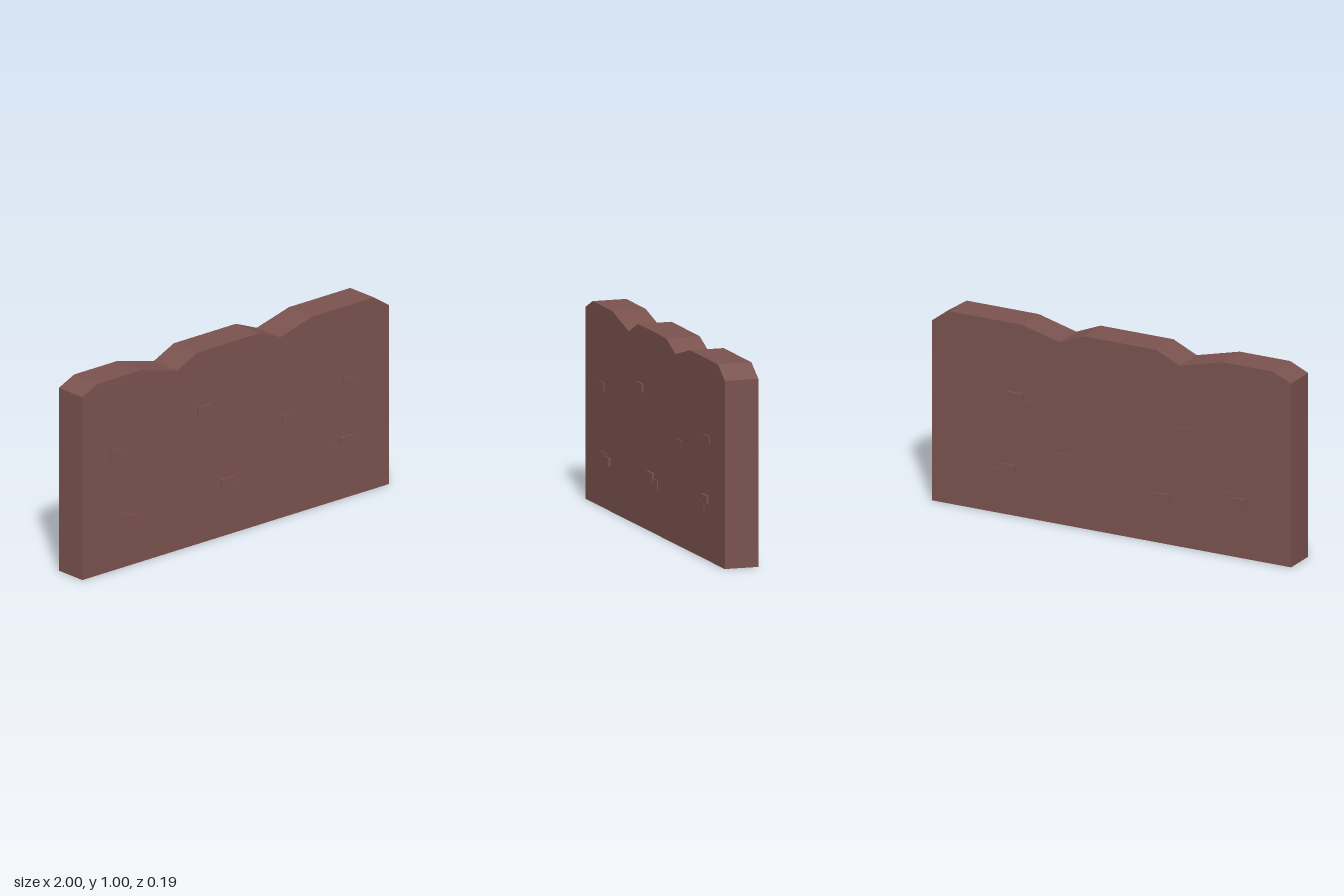
import * as THREE from 'three';

const THICK = 0.174;

export function createModel() {
  const model = new THREE.Group();
  model.name = 'ruinedWall';
  const stone = new THREE.MeshStandardMaterial({ color: 0x7a524e });
  stone.name = 'reddish brown stone';

  // Wall slab with a worn, notched top edge
  const outline = [
    [-1, 0], [1, 0], [1, 0.935], [0.9, 1], [0.5, 1], [0.29, 0.945],
    [0.155, 1], [-0.25, 1], [-0.38, 0.94], [-0.62, 1], [-0.9, 1], [-1, 0.955],
  ].map(([x, y]) => new THREE.Vector2(x, y));
  const slabGeometry = new THREE.ExtrudeGeometry(new THREE.Shape(outline), {
    depth: THICK, bevelEnabled: false,
  });
  slabGeometry.translate(0, 0, -THICK / 2);
  const slab = new THREE.Mesh(slabGeometry, stone);
  slab.name = 'wallSlab';
  model.add(slab);

  // Bricks standing slightly proud of both faces: x, y, protrusion
  const HIGH = 0.01, LOW = 0.005;
  const frontBricks = [
    [-0.21, 0.695, HIGH], [-0.685, 0.243, HIGH], [-0.06, 0.277, HIGH], [0.72, 0.302, HIGH],
    [-0.77, 0.603, LOW], [-0.74, 0.257, LOW], [0, 0.25, LOW],
    [0.345, 0.51, LOW], [0.743, 0.6, LOW], [0.665, 0.26, LOW],
  ];
  const backBricks = [
    [0.53, 0.622, HIGH], [0.577, 0.242, HIGH], [-0.28, 0.24, HIGH], [-0.7, 0.288, HIGH],
    [0.465, 0.588, LOW], [0.64, 0.21, LOW], [0.277, 0.346, LOW],
    [-0.403, 0.6, LOW], [-0.65, 0.312, LOW],
  ];

  function addBricks(name, bricks, side) {
    const group = new THREE.Group();
    group.name = name;
    for (const [x, y, out] of bricks) {
      const depth = out + 0.01; // partly sunk into the slab
      const brick = new THREE.Mesh(new THREE.BoxGeometry(0.085, 0.042, depth), stone);
      brick.name = 'brick';
      brick.position.set(x, y, side * (THICK / 2 + out - depth / 2));
      group.add(brick);
    }
    model.add(group);
  }
  addBricks('frontBricks', frontBricks, 1);
  addBricks('backBricks', backBricks, -1);

  return model;
}
